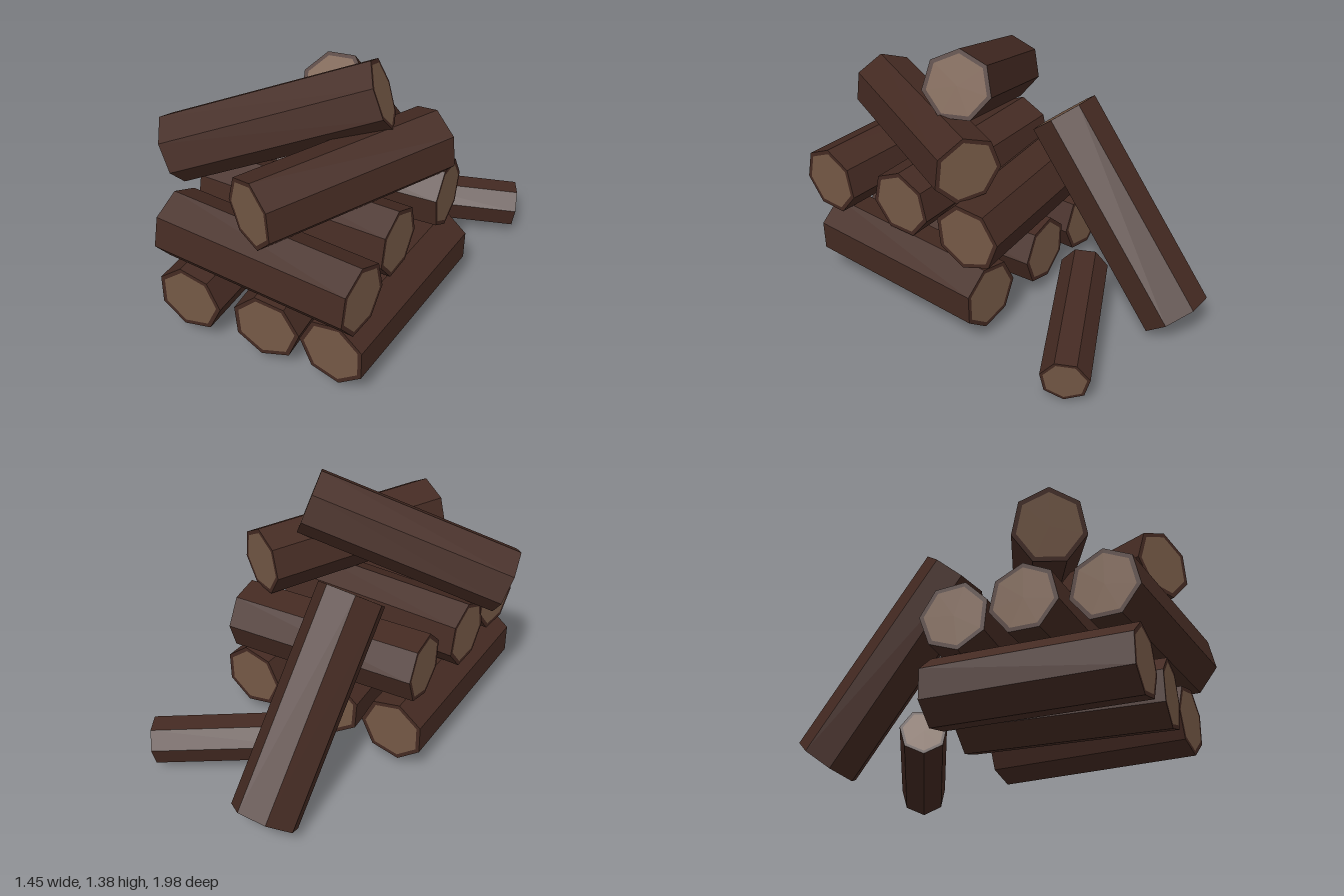
import * as THREE from 'three';

const SIDES = 7;
const bark = new THREE.MeshStandardMaterial({ color: 0x442a22, flatShading: true });
const wood = new THREE.MeshStandardMaterial({ color: 0x755946, flatShading: true });

// A seven-sided log from centre a to centre b; roll is the angle of one
// corner, in degrees, seen looking at end a.
function log(name, a, b, radius, roll) {
  const start = new THREE.Vector3(...a), end = new THREE.Vector3(...b);
  const length = start.distanceTo(end);
  const turn = THREE.MathUtils.degToRad(roll);
  const inner = radius * 0.87;
  const group = new THREE.Group();
  group.name = name;

  const add = (part, geometry, material) => {
    const mesh = new THREE.Mesh(geometry, material);
    mesh.name = part;
    group.add(mesh);
  };

  // bark sleeve
  add('bark', new THREE.CylinderGeometry(radius, radius, length, SIDES, 1, true)
    .rotateX(Math.PI / 2).rotateZ(turn + Math.PI / 2), bark);

  // both sawn ends: bark rim around pale wood
  for (const side of [1, -1]) {
    const place = (g) => g.rotateX(side > 0 ? 0 : Math.PI).rotateZ(turn).translate(0, 0, side * length / 2);
    add('barkRim', place(new THREE.RingGeometry(inner, radius, SIDES)), bark);
    add('cutEnd', place(new THREE.CircleGeometry(inner, SIDES)), wood);
  }

  // local z runs along the log towards end a, local y as upright as possible
  const w = start.clone().sub(end).normalize();
  const u = new THREE.Vector3(0, 1, 0).cross(w).normalize();
  const v = w.clone().cross(u);
  group.quaternion.setFromRotationMatrix(new THREE.Matrix4().makeBasis(u, v, w));
  group.position.copy(start).add(end).multiplyScalar(0.5);
  return group;
}

export function createModel() {
  const model = new THREE.Group();
  model.name = 'logPile';
  const R = 0.175;
  model.add(
    // bottom layer, front to back
    log('bottomLogRight', [-0.39, 0.26, 0.87], [-0.385, 0.26, -0.14], R, 103),
    log('bottomLogMiddle', [0.035, 0.26, 0.87], [-0.015, 0.26, -0.14], R, 107),
    log('bottomLogLeft', [0.385, 0.26, 0.87], [0.455, 0.26, -0.14], R, 76),
    // second layer, side to side
    log('crossLogFront', [0.515, 0.6, 0.825], [-0.515, 0.6, 0.74], R, 90),
    log('crossLogMiddle', [0.48, 0.6, 0.39], [-0.53, 0.6, 0.365], R, 90),
    log('crossLogBack', [0.53, 0.6, -0.06], [-0.48, 0.6, 0.0], R, 109),
    // upper logs
    log('diagonalLog', [-0.01, 0.92, 0.885], [0.455, 0.92, -0.02], R, 84),
    log('topLog', [0.28, 1.23, 0.17], [-0.645, 0.865, 0.54], R, 90),
    // logs behind the pile
    log('leaningLog', [-0.155, 1.0, -0.145], [-0.105, 0.12, -0.86], R, 72),
    log('smallLog', [0.66, 0.15, -0.71], [-0.03, 0.24, -0.37], 0.12, 62),
  );
  return model;
}
